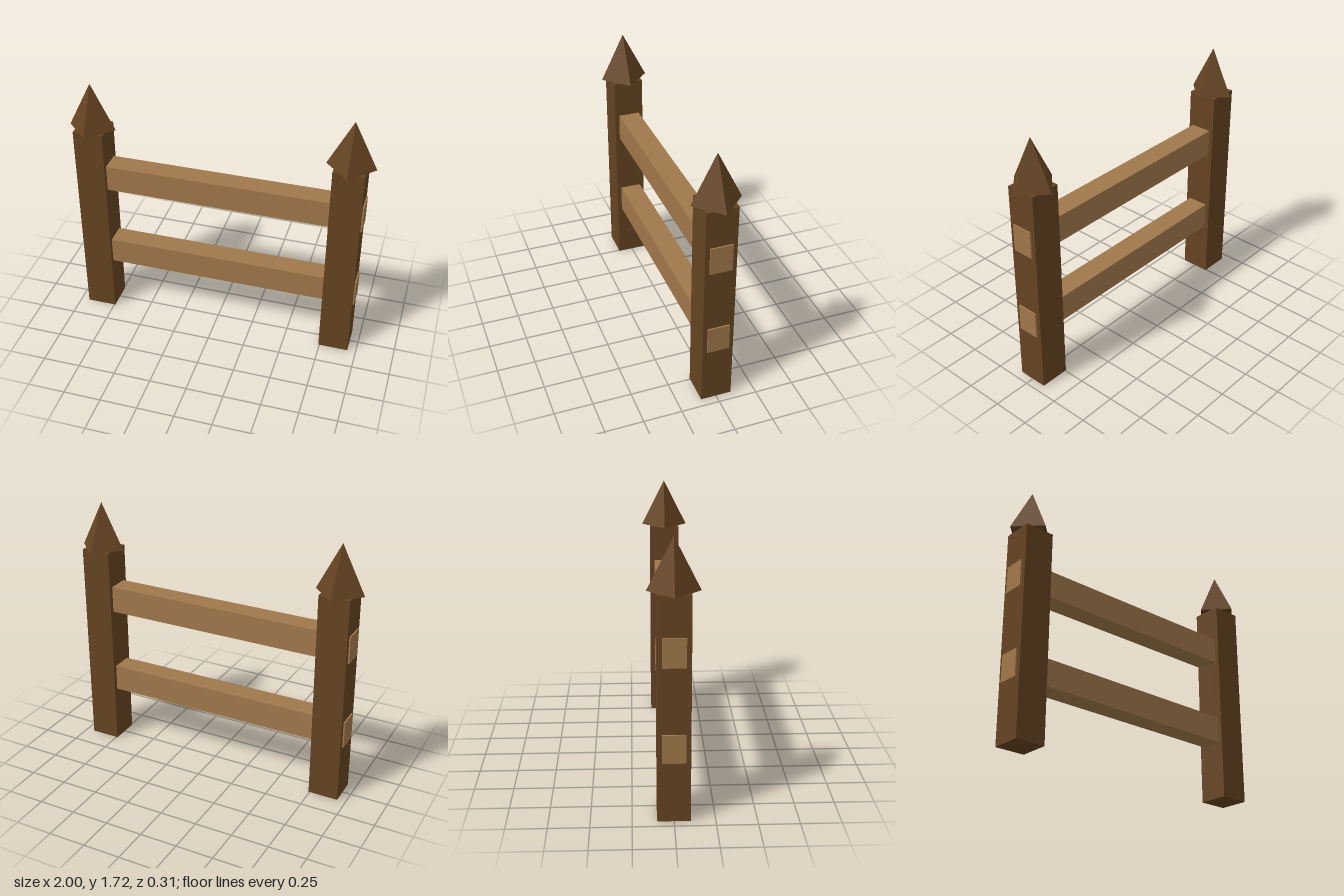
import * as THREE from 'three';

export function createModel() {
  const model = new THREE.Group();
  model.name = 'fence';

  const darkWood = new THREE.MeshStandardMaterial({ color: 0x654321 });
  darkWood.name = 'dark wood';
  const lightWood = new THREE.MeshStandardMaterial({ color: 0xa0774a });
  lightWood.name = 'light wood';

  const add = (name, geometry, material, x, y) => {
    const mesh = new THREE.Mesh(geometry, material);
    mesh.name = name;
    mesh.position.set(x, y, 0);
    model.add(mesh);
  };

  const postX = 0.843, postHeight = 1.406, capHeight = 0.312;

  // Four-sided cap, turned so its corners point along the axes with flat faces
  const capGeometry = new THREE.ConeGeometry(0.157, capHeight, 4).toNonIndexed();
  capGeometry.computeVertexNormals();

  // Square posts with pointed caps
  for (const [side, s] of [['left', 1], ['right', -1]]) {
    add(`${side}Post`, new THREE.BoxGeometry(0.2, postHeight, 0.2), darkWood, s * postX, postHeight / 2);
    add(`${side}Cap`, capGeometry, darkWood, s * postX, postHeight + capHeight / 2);
  }

  // Rails pass through the posts and stick out slightly at the ends
  for (const [name, y] of [['lowerRail', 0.475], ['upperRail', 1.07]]) {
    add(name, new THREE.BoxGeometry(1.906, 0.18, 0.142), lightWood, 0, y);
  }

  return model;
}
